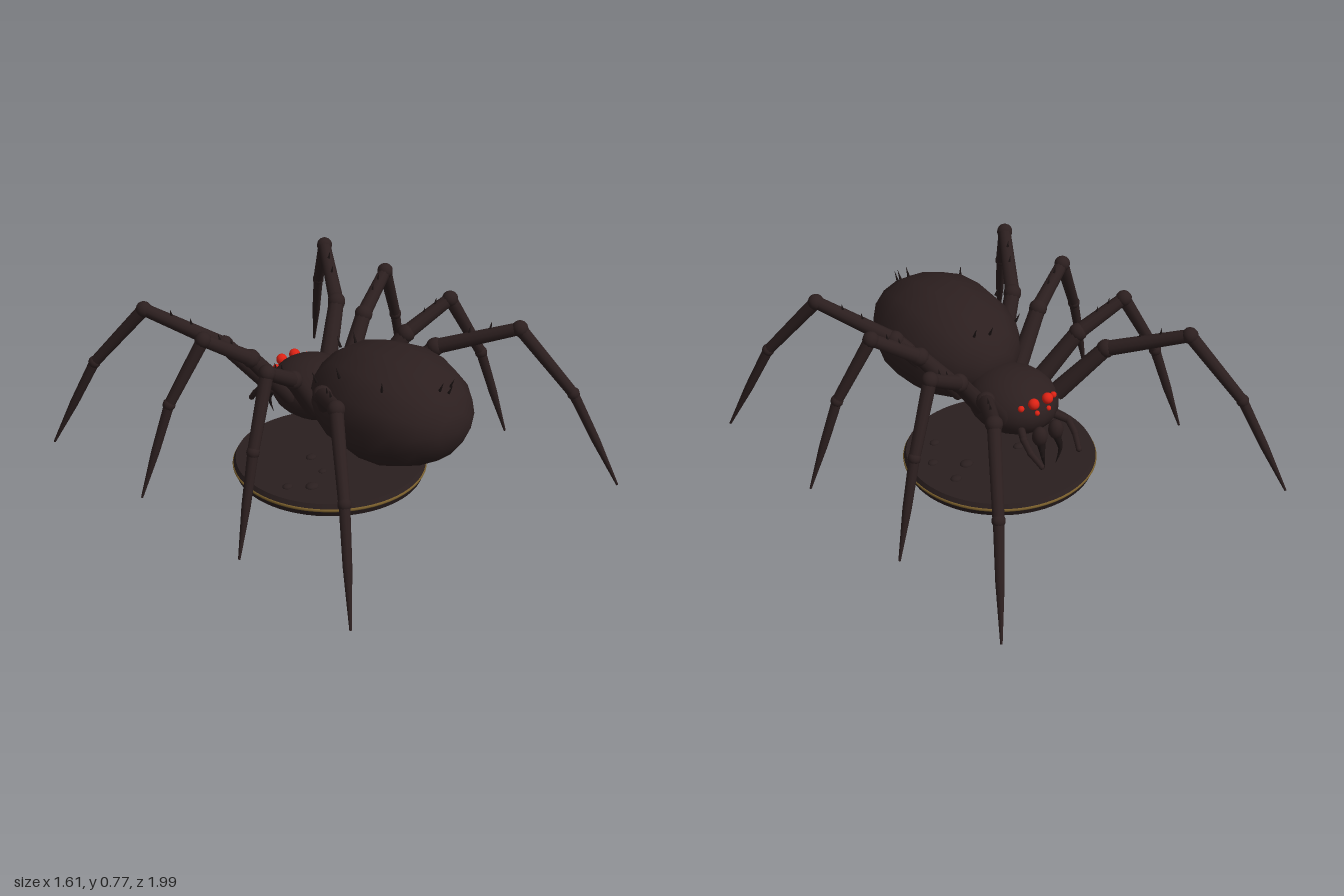
import * as THREE from 'three';

const mat = (name, color) => {
  const m = new THREE.MeshStandardMaterial({ color });
  m.name = name;
  return m;
};
const V = (x, y, z) => new THREE.Vector3(x, y, z);
const UP = V(0, 1, 0);

export function createModel() {
  const shell = mat('dark shell', 0x2c1f1f);
  const bristle = mat('black bristle', 0x1b1313);
  const stone = mat('base stone', 0x2a1f1f);
  const gold = mat('dull gold', 0x7a5f2c);
  const red = mat('eye red', 0xdd2214);

  const model = new THREE.Group();
  model.name = 'spider';

  const add = (parent, name, geo, material, pos = V(0, 0, 0)) => {
    const m = new THREE.Mesh(geo, material);
    m.name = name;
    m.position.copy(pos);
    parent.add(m);
    return m;
  };
  const ball = (parent, name, r, pos, material = shell, scale = V(1, 1, 1)) => {
    const m = add(parent, name, new THREE.SphereGeometry(r, 12, 9), material, pos);
    m.scale.copy(scale);
    return m;
  };
  // Tapered limb from a (radius ra) to b (radius rb)
  const limb = (parent, name, a, b, ra, rb, material = shell, sides = 10) => {
    const geo = new THREE.CylinderGeometry(rb, ra, a.distanceTo(b), sides);
    const m = add(parent, name, geo, material, a.clone().lerp(b, 0.5));
    m.quaternion.setFromUnitVectors(UP, b.clone().sub(a).normalize());
    return m;
  };
  const spike = (parent, pos, dir, len = 0.05) =>
    limb(parent, 'bristle', pos, pos.clone().addScaledVector(dir.clone().normalize(), len), 0.007, 0.0005, bristle, 5);

  // Abdomen: slightly lumpy ellipsoid with its poles along z
  const abdomenGeo = new THREE.SphereGeometry(1, 14, 10).rotateX(Math.PI / 2);
  const p = abdomenGeo.attributes.position;
  const nrm = abdomenGeo.attributes.normal;
  for (let i = 0; i < p.count; i++) {
    const v = V(0, 0, 0).fromBufferAttribute(p, i);
    const k = 1 + 0.018 * Math.sin(5 * v.x + 2) * Math.sin(4 * v.y + 3 * v.z);
    p.setXYZ(i, v.x * 0.3 * k, (v.y * 0.252 + 0.012 * v.z) * k, v.z * 0.387);
    const n = V(v.x / 0.3, v.y / 0.252, v.z / 0.387).normalize();
    nrm.setXYZ(i, n.x, n.y, n.z);
  }
  const abdomenAt = V(0, 0.48, 0.385);
  add(model, 'abdomen', abdomenGeo, shell, abdomenAt);

  // Head section and waist
  const head = add(model, 'head', new THREE.SphereGeometry(1, 20, 14), shell, V(0, 0.375, -0.09));
  head.scale.set(0.19, 0.135, 0.215);
  limb(model, 'waist', V(0, 0.39, 0.02), V(0, 0.43, 0.16), 0.08, 0.09);

  // Bristles on the abdomen: x, z
  const bristles = [
    [-0.22, 0.16], [-0.22, 0.3], [-0.19, 0.52], [0, 0.07], [0.07, 0.09],
    [-0.01, 0.67], [0.02, 0.69], [0.05, 0.67],
  ];
  for (const [x, z] of bristles) {
    const dz = z - abdomenAt.z;
    const y = 0.25 * Math.sqrt(1 - (x / 0.3) ** 2 - (dz / 0.387) ** 2);
    spike(model, V(x, abdomenAt.y + y - 0.003, z), V(x * 0.3, 0.25, dz * 0.4));
  }

  // Paired face parts
  for (const s of [1, -1]) {
    ball(model, 'mainEye', 0.025, V(s * 0.038, 0.45, -0.275), red);
    ball(model, 'sideEye', 0.0145, V(s * 0.09, 0.436, -0.253), red);
    ball(model, 'lowerEye', 0.012, V(s * 0.032, 0.41, -0.29), red);
    ball(model, 'jaw', 0.034, V(s * 0.045, 0.315, -0.325), shell, V(1, 1.35, 1));
    const fang = new THREE.CatmullRomCurve3([
      V(s * 0.045, 0.28, -0.335), V(s * 0.05, 0.23, -0.352), V(s * 0.03, 0.155, -0.345)]).getPoints(4);
    for (let i = 0; i < 4; i++)
      limb(model, 'fang', fang[i], fang[i + 1], 0.0185 - i * 0.0045, 0.014 - i * 0.0045, bristle, 8);
    const palp = [V(s * 0.09, 0.34, -0.25), V(s * 0.125, 0.325, -0.315), V(s * 0.125, 0.28, -0.36), V(s * 0.105, 0.23, -0.41)];
    for (let i = 0; i < 3; i++) {
      limb(model, 'feeler', palp[i], palp[i + 1], 0.018 - i * 0.002, 0.016 - i * 0.002);
      ball(model, 'feelerJoint', 0.017 - i * 0.002, palp[i + 1]);
    }
  }

  // Legs: z of hip, first joint, knee, shin joint and tip
  const legs = [
    [-0.19, -0.315, -0.615, -0.815, -0.992],
    [-0.07, -0.135, -0.205, -0.275, -0.328],
    [0.07, 0.135, 0.205, 0.275, 0.328],
    [0.19, 0.315, 0.615, 0.815, 0.992],
  ];
  const legX = [0.16, 0.33, 0.53, 0.67, 0.8];
  const legY = [0.39, 0.605, 0.733, 0.45, 0.02];
  for (const s of [1, -1]) {
    legs.forEach((zs, n) => {
      const leg = new THREE.Group();
      leg.name = (s > 0 ? 'left' : 'right') + 'Leg' + (n + 1);
      const q = zs.map((z, i) => V(s * legX[i], legY[i], z));
      const mid = q[3].clone().lerp(q[4], 0.5);
      limb(leg, 'hip', q[0], q[1], 0.042, 0.035);
      limb(leg, 'thigh', q[1], q[2], 0.034, 0.028);
      limb(leg, 'shin', q[2], q[3], 0.029, 0.024);
      limb(leg, 'foot', q[3], mid, 0.023, 0.019);
      limb(leg, 'claw', mid, q[4], 0.019, 0.005);
      ball(leg, 'hipJoint', 0.041, q[1]);
      ball(leg, 'knee', 0.036, q[2]);
      ball(leg, 'ankle', 0.028, q[3]);
      for (const t of [0.4, 0.65]) {
        const at = q[1].clone().lerp(q[2], t);
        at.y += 0.025;
        spike(leg, at, V(s * 0.2, 1, 0), 0.035);
      }
      model.add(leg);
    });
  }

  // Round display base with a gold band standing proud of the rim
  const disc = (name, r0, r1, y0, y1) =>
    add(model, name, new THREE.CylinderGeometry(r1, r0, y1 - y0, 64), stone, V(0, (y0 + y1) / 2, 0));
  disc('baseFoot', 0.42, 0.43, 0, 0.025);
  disc('baseBand', 0.424, 0.424, 0.025, 0.04);
  disc('baseTop', 0.43, 0.42, 0.04, 0.06);
  const band = add(model, 'goldBand', new THREE.TorusGeometry(0.427, 0.0075, 6, 64), gold, V(0, 0.0325, 0));
  band.rotation.x = Math.PI / 2;

  // Pebbles on the base: x, z, radius
  const pebbles = [
    [-0.32, 0.08, 0.025], [-0.24, 0.15, 0.032], [-0.075, -0.04, 0.026], [0.19, 0.0, 0.032],
    [0.2, 0.22, 0.024], [0.295, -0.06, 0.027], [0.3, 0.1, 0.025], [-0.12, 0.085, 0.02],
  ];
  for (const [x, z, r] of pebbles) ball(model, 'pebble', r, V(x, 0.06, z), stone, V(1, 0.5, 0.85));

  return model;
}
